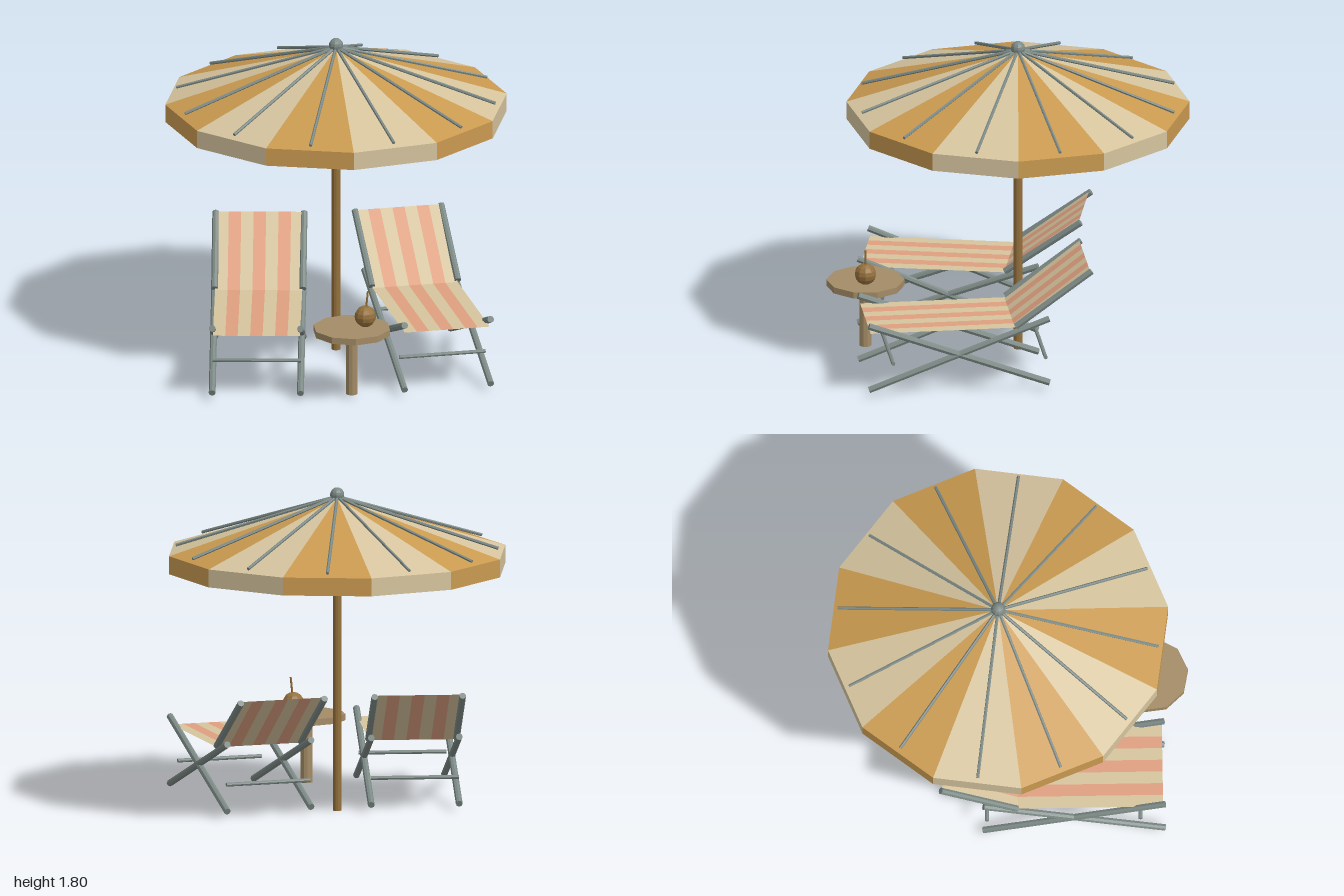
import * as THREE from 'three';

const paint = (name, color, side = THREE.FrontSide) => {
  const m = new THREE.MeshStandardMaterial({ color, side, flatShading: true });
  m.name = name;
  return m;
};

const part = (parent, name, geometry, material, x = 0, y = 0, z = 0) => {
  const mesh = new THREE.Mesh(geometry, material);
  mesh.name = name;
  mesh.position.set(x, y, z);
  parent.add(mesh);
  return mesh;
};

// Round bar between two points
const bar = (parent, name, a, b, radius, material, sides = 8) => {
  const from = new THREE.Vector3(...a), to = new THREE.Vector3(...b);
  const dir = to.clone().sub(from);
  const mesh = part(parent, name, new THREE.CylinderGeometry(radius, radius, dir.length(), sides), material);
  mesh.position.copy(from).add(to).multiplyScalar(0.5);
  mesh.quaternion.setFromUnitVectors(new THREE.Vector3(0, 1, 0), dir.normalize());
  return mesh;
};

export function createModel() {
  const model = new THREE.Group();
  model.name = 'beachSet';
  const cream = paint('cream cloth', 0xd6c49e, THREE.DoubleSide);
  const orange = paint('orange cloth', 0xca9a50, THREE.DoubleSide);
  const pink = paint('pink cloth', 0xdfa080, THREE.DoubleSide);
  const metal = paint('grey metal', 0x7d8a86);
  const brown = paint('brown wood', 0x94703c);
  const tan = paint('tan wood', 0xa48c66);

  // Parasol: alternating panels with a hanging valance, ribs, pole and finial
  const parasol = new THREE.Group();
  parasol.name = 'parasol';
  parasol.position.z = -0.055;
  model.add(parasol);
  const R = 0.945, rim = 1.45, apex = 1.745, panels = 12, step = Math.PI * 2 / panels;
  for (let i = 0; i < panels; i++) {
    const cloth = i % 2 ? orange : cream;
    part(parasol, 'canopyPanel', new THREE.ConeGeometry(R, apex - rim, 1, 1, true, i * step, step),
      cloth, 0, (rim + apex) / 2);
    part(parasol, 'valancePanel', new THREE.CylinderGeometry(R, R, 0.1, 1, 1, true, i * step, step),
      cloth, 0, rim - 0.05);
    const t = (i + 0.5) * step;
    bar(parasol, 'rib', [0, 1.753, 0], [0.89 * Math.sin(t), 1.472, 0.89 * Math.cos(t)], 0.009, metal, 6);
  }
  part(parasol, 'pole', new THREE.CylinderGeometry(0.024, 0.024, 1.74, 10), brown, 0, 0.87);
  part(parasol, 'finial', new THREE.SphereGeometry(0.04, 10, 8), metal, 0, 1.763);

  // Side table with a coconut drink
  const table = new THREE.Group();
  table.name = 'sideTable';
  table.position.z = 0.785;
  model.add(table);
  part(table, 'tableTop', new THREE.CylinderGeometry(0.215, 0.215, 0.036, 10), tan, 0, 0.387);
  part(table, 'tableLeg', new THREE.CylinderGeometry(0.033, 0.033, 0.352, 10), tan, 0, 0.195);
  part(table, 'coconut', new THREE.SphereGeometry(0.06, 10, 8), brown, 0.075, 0.465);
  bar(table, 'straw', [0.078, 0.5, 0], [0.089, 0.608, 0], 0.006, brown, 6);

  // Two deck chairs, splayed outwards at the front
  const half = 0.243, stripes = 7, width = 2 * half - 0.006;
  const seatY = 0.372, bend = -0.31, backZ = -0.725, backY = 0.69;
  for (const s of [-1, 1]) {
    const chair = new THREE.Group();
    chair.name = s < 0 ? 'rightDeckChair' : 'leftDeckChair';
    chair.position.set(s * 0.47, 0, 0.3);
    chair.rotation.y = s * 0.12;
    model.add(chair);

    // Crossed legs and back rails
    for (const x of [-half, half]) {
      bar(chair, 'crossLeg', [x, 0.417, 0.5], [x, 0.043, -0.5], 0.019, metal);
      bar(chair, 'crossLeg', [x, 0.043, 0.5], [x, 0.417, -0.5], 0.019, metal);
      bar(chair, 'backRail', [x, 0.38, -0.315], [x, 0.685, -0.735], 0.019, metal);
    }
    for (const z of [0.365, -0.48])
      bar(chair, 'crossBar', [-half, 0.19, z], [half, 0.19, z], 0.011, metal);

    // Striped sling: flat seat and sloping back
    const w = width / stripes, rise = backY - seatY, run = bend - backZ;
    for (let i = 0; i < stripes; i++) {
      const cloth = i % 2 ? pink : cream, x = -width / 2 + (i + 0.5) * w;
      const seat = part(chair, 'seatStripe', new THREE.PlaneGeometry(w, 0.49 - bend), cloth,
        x, seatY, (0.49 + bend) / 2);
      seat.rotation.x = -Math.PI / 2;
      const back = part(chair, 'backStripe', new THREE.PlaneGeometry(w, Math.hypot(rise, run)), cloth,
        x, (seatY + backY) / 2, (bend + backZ) / 2);
      back.rotation.x = -Math.atan2(run, rise);
    }
  }
  return model;
}
